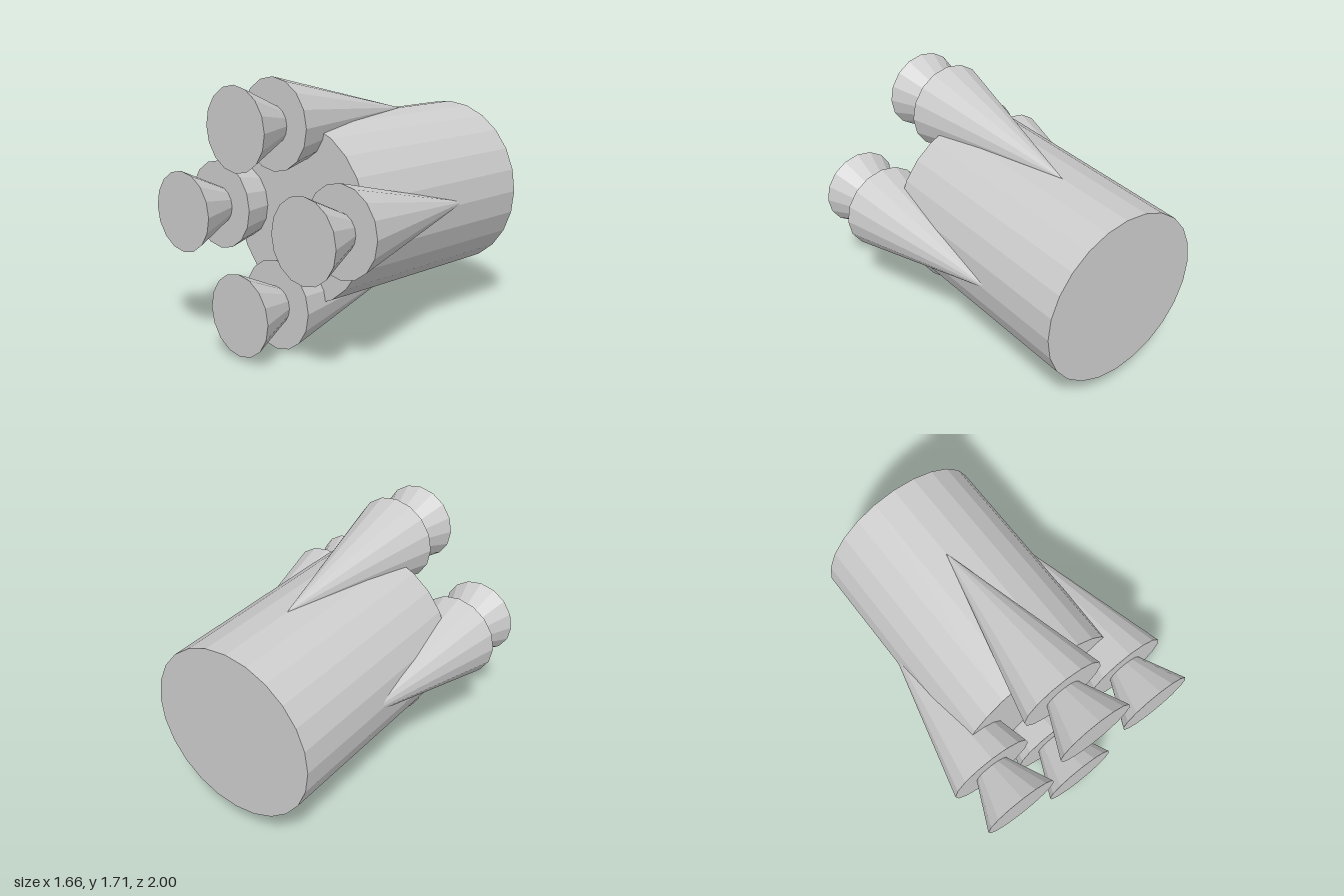
import * as THREE from 'three';

const material = new THREE.MeshStandardMaterial({ color: 0xcccccc, flatShading: true });

// Tapered round part lying along z, from zBack to zFront
function roundPart(name, rFront, rBack, zFront, zBack, sides) {
  const length = zFront - zBack;
  const geometry = new THREE.CylinderGeometry(rFront, rBack, length, sides);
  geometry.rotateX(Math.PI / 2);
  geometry.translate(0, 0, (zFront + zBack) / 2);
  const mesh = new THREE.Mesh(geometry, material);
  mesh.name = name;
  return mesh;
}

export function createModel() {
  const model = new THREE.Group();
  model.name = 'boosterStage';

  // Main barrel
  const body = roundPart('body', 0.58, 0.58, 0.5, -1, 24);
  body.position.set(-0.02, 0.84, 0);
  model.add(body);

  // Four boosters around the barrel: a long cone with a flared nozzle
  const places = { top: [-0.02, 1.42], bottom: [-0.02, 0.29], left: [0.543, 0.85], right: [-0.546, 0.85] };
  for (const [side, [x, y]] of Object.entries(places)) {
    const booster = new THREE.Group();
    booster.name = side + 'Booster';
    booster.add(
      roundPart('boosterCone', 0.288, 0, 0.7, -0.45, 16),
      roundPart('nozzle', 0.26, 0, 1, 0.44, 16)
    );
    booster.position.set(x, y, 0);
    model.add(booster);
  }
  return model;
}
